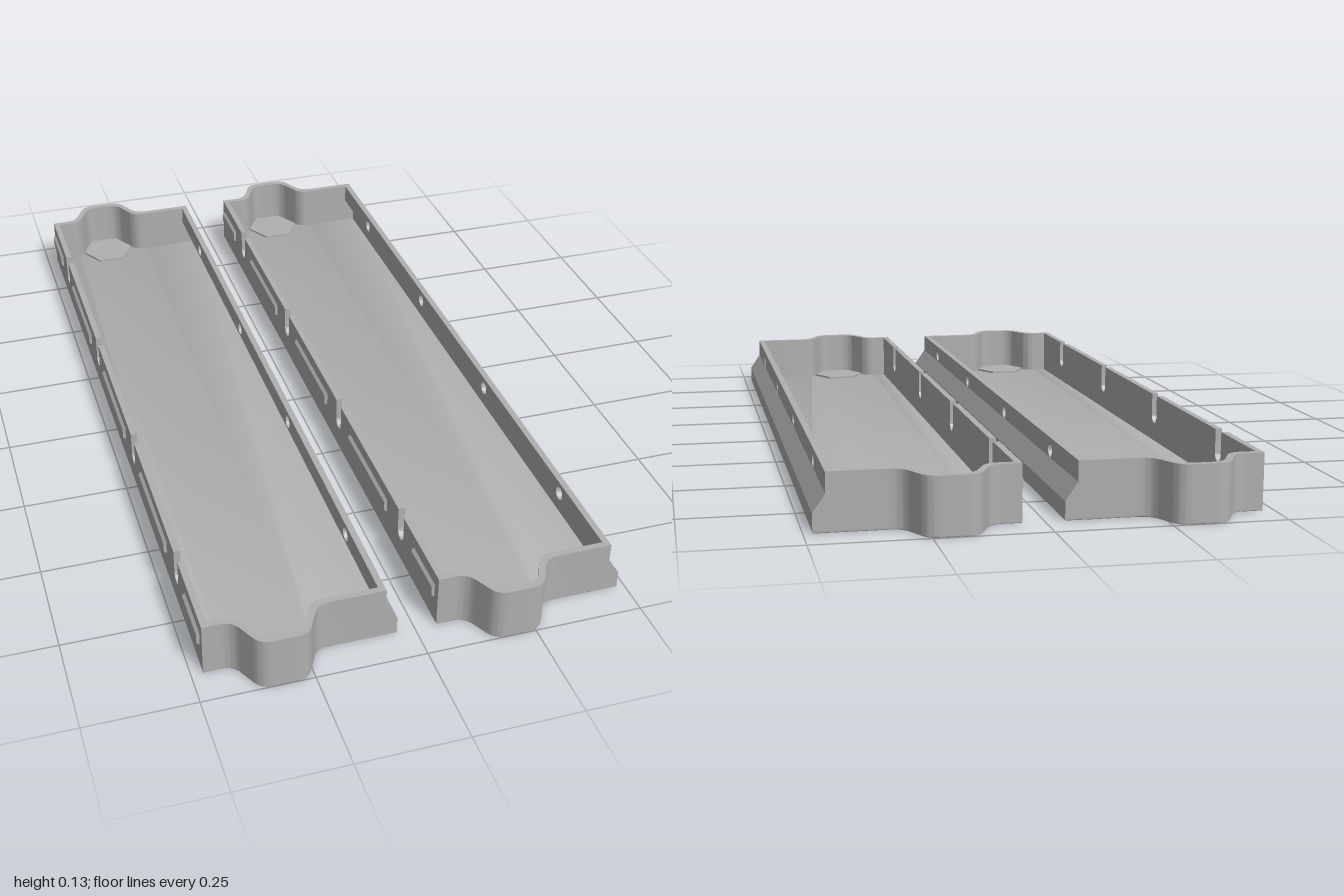
import * as THREE from 'three';
import { toCreasedNormals } from 'three/addons/utils/BufferGeometryUtils.js';

const H = 0.127;        // tray height
const T = 0.015;        // wall thickness
const W = 0.405;        // width at the rim
const BASE_W = 0.432;   // width at the foot
const L = 0.92;         // half length without the end bulges
const MID = 0.1575;     // centre of the bulges across the tray
const FOOT = 0.003;     // small bevel under the floor
const BEND = 0.082;     // where the sloped side meets the upright rim
const HOLE_Z = [-0.685, -0.228, 0.228, 0.685];

const V = (x, y) => new THREE.Vector2(x, y);

// Round the inner corners of an open polyline
function rounded(pts, r) {
  const out = [pts[0]];
  for (let i = 1; i < pts.length - 1; i++) {
    const p = pts[i];
    const a = p.clone().add(pts[i - 1].clone().sub(p).setLength(r));
    const b = p.clone().add(pts[i + 1].clone().sub(p).setLength(r));
    out.push(...new THREE.QuadraticBezierCurve(a, p, b).getPoints(8));
  }
  out.push(pts[pts.length - 1]);
  return out;
}

// End contour with its bulge, from x0 to x1, inset by the given distance
function endContour(x0, x1, inset) {
  const s = inset * 0.618;
  const z = L - inset, top = 1 - inset;
  return rounded([
    V(x0, z), V(MID - 0.0925 + s, z), V(MID - 0.0525 + s, top),
    V(MID + 0.0525 - s, top), V(MID + 0.0925 - s, z), V(x1, z),
  ], 0.026);
}

function extrude(shape, depth, options = {}) {
  const g = new THREE.ExtrudeGeometry(shape, { depth, bevelEnabled: false, curveSegments: 12, ...options });
  return toCreasedNormals(g, 0.5);
}

// Shape drawn in (x, z), raised along y
const raise = (shape, y0, y1) => extrude(shape, y1 - y0).rotateX(-Math.PI / 2).translate(0, y0, 0);
// Shape drawn in (z, y), thick along x
const sideways = (shape, x0, thick) => extrude(shape, thick).rotateY(-Math.PI / 2).translate(x0 + thick, 0, 0);
// Section drawn in (x, y), running along z
const along = (pts, z0, z1) => extrude(new THREE.Shape(pts), z1 - z0).translate(0, 0, z0);

function floorGeometry() {
  const front = endContour(0, BASE_W, 0);
  const back = front.map(p => V(p.x, -p.y)).reverse();
  return extrude(new THREE.Shape([...front, ...back]), 0.004, {
    bevelEnabled: true, bevelThickness: FOOT, bevelSize: FOOT, bevelOffset: -FOOT, bevelSegments: 2,
  }).rotateX(-Math.PI / 2).translate(0, FOOT, 0);
}

// Wall with four round-bottomed slots open at the top
function slottedWall() {
  const z = L - T, r = 0.018, y = 0.073;
  const s = new THREE.Shape();
  s.moveTo(-z, FOOT);
  s.lineTo(z, FOOT);
  s.lineTo(z, H);
  for (const c of [...HOLE_Z].reverse()) {
    s.lineTo(c + r, H);
    s.lineTo(c + r, y);
    s.absarc(c, y, r, 0, -Math.PI, true);
    s.lineTo(c - r, H);
  }
  s.lineTo(-z, H);
  return sideways(s, 0, T);
}

// Upright rim with four round holes
function holedRim() {
  const z = L - T;
  const s = new THREE.Shape([V(-z, BEND), V(z, BEND), V(z, H), V(-z, H)]);
  for (const c of HOLE_Z) s.holes.push(new THREE.Path().absarc(c, 0.0995, 0.0165, 0, Math.PI * 2, true));
  return sideways(s, W - T, T);
}

export function createModel() {
  const grey = new THREE.MeshStandardMaterial({ color: 0xb0b0b0 });
  grey.name = 'grey plastic';

  function buildTray(name) {
    const tray = new THREE.Group();
    tray.name = name;
    const add = (part, geometry) => {
      const m = new THREE.Mesh(geometry, grey);
      m.name = part;
      tray.add(m);
    };

    add('floor', floorGeometry());
    add('slottedWall', slottedWall());
    add('holedRim', holedRim());
    add('slopedSide', along([
      V(BASE_W - T, FOOT), V(BASE_W, FOOT), V(BASE_W, 0.042), V(W, BEND),
      V(W - T, BEND), V(W - T, 0.078), V(BASE_W - T, 0.038),
    ], -L + T, L - T));

    // Bulged end walls, the wedges closing the sloped side, and floor pads
    for (const side of [1, -1]) {
      const end = side > 0 ? 'front' : 'back';
      const strip = [...endContour(0, W, 0), ...endContour(0, W, T).reverse()].map(p => V(p.x, -side * p.y));
      add(end + 'Wall', raise(new THREE.Shape(strip), FOOT, H));

      const z0 = side > 0 ? L - T : -L;
      add(end + 'Wedge', along([V(W, FOOT), V(BASE_W, FOOT), V(BASE_W, 0.042), V(W, BEND)], z0, z0 + T));

      const pad = new THREE.CylinderGeometry(0.072, 0.072, 0.006, 6).toNonIndexed();
      pad.rotateY(Math.PI / 6).translate(MID, 0.012, side * L);
      add(end + 'Pad', toCreasedNormals(pad, 0.5));
    }

    // Raised grip bars between the slots
    const bars = [[-0.835, 0.13], [-0.4565, 0.27], [0, 0.27], [0.4565, 0.27], [0.835, 0.13]];
    for (const [z, len] of bars) {
      add('gripBar', along([
        V(0.001, 0.062), V(0.001, 0.098), V(-0.007, 0.091), V(-0.007, 0.069),
      ], z - len / 2, z + len / 2));
    }
    return tray;
  }

  const model = new THREE.Group();
  model.name = 'trayPair';
  [['rightTray', -0.474], ['leftTray', 0.049]].forEach(([name, x]) => {
    const tray = buildTray(name);
    tray.position.x = x;
    model.add(tray);
  });
  return model;
}
